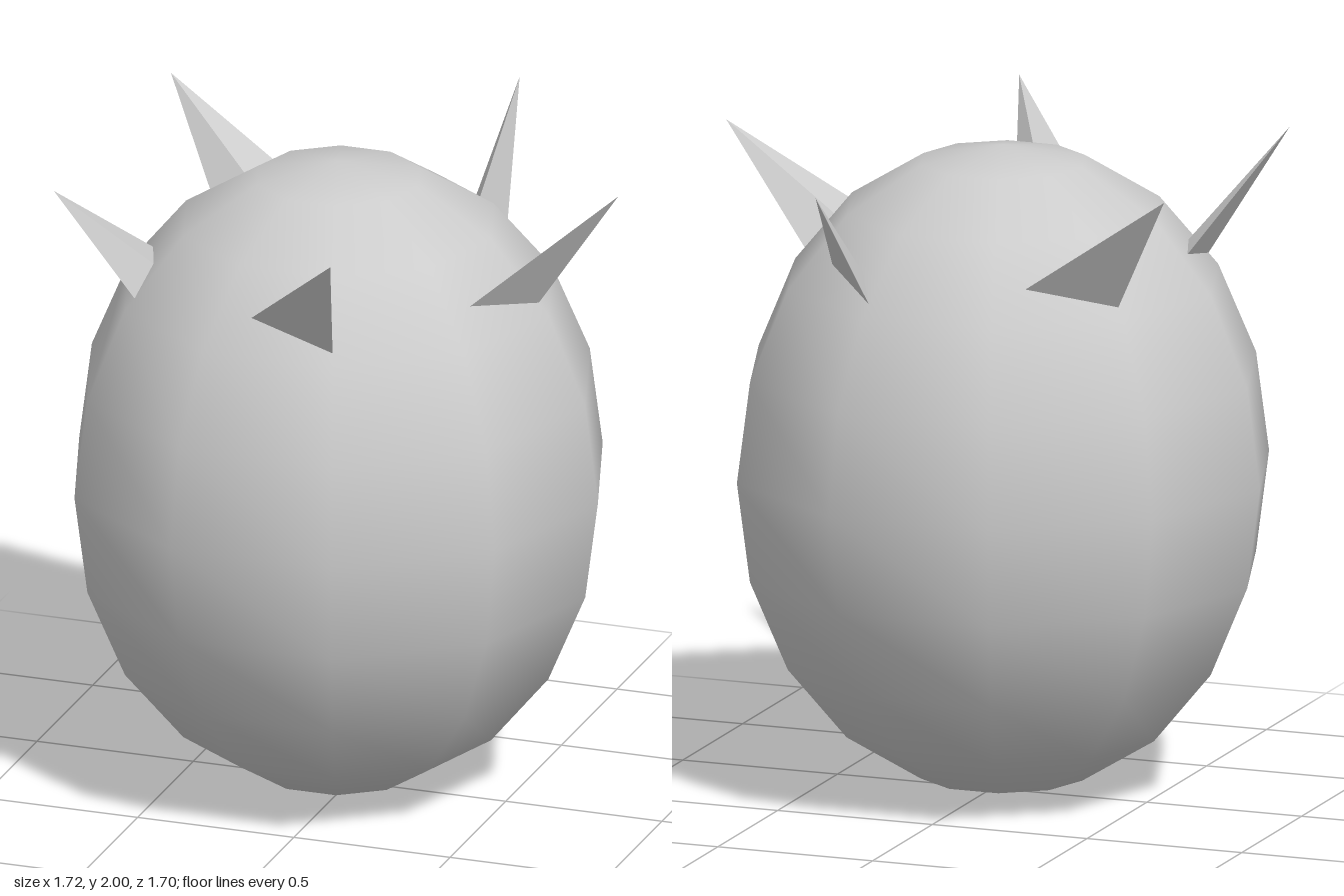
import * as THREE from 'three';

const CENTER_X = -0.035;

// Thin three-sided spike; its root corners are buried in the body
function spikeGeometry() {
  const tip = new THREE.Vector3(0.895, 2, 0);
  const lower = new THREE.Vector3(-0.25, -0.37, 0);
  const side = new THREE.Vector3(-0.38, -0.31, 0.245);
  const normal = lower.clone().cross(side).normalize();
  const ridge = lower.clone().add(side).multiplyScalar(0.5).addScaledVector(normal, 0.05);
  const [a, b, c] = [lower, side, ridge].map((d) => tip.clone().addScaledVector(d, 1.15));
  const faces = [tip, a, c, tip, c, b, tip, b, a, a, b, c];
  const geometry = new THREE.BufferGeometry().setFromPoints(faces);
  geometry.computeVertexNormals();
  return geometry;
}

export function createModel() {
  const model = new THREE.Group();
  model.name = 'spikedEgg';
  const grey = new THREE.MeshStandardMaterial({ color: 0xcccccc });
  grey.name = 'grey';

  // Smooth egg-shaped body with ten sides and ten rows
  const body = new THREE.Mesh(new THREE.SphereGeometry(1, 10, 10), grey);
  body.name = 'body';
  body.scale.set(0.83, 1, 0.83);
  body.position.set(CENTER_X, 1, 0);
  model.add(body);

  // Crown of five spikes
  const crown = new THREE.Group();
  crown.name = 'crown';
  crown.position.x = CENTER_X;
  const geometry = spikeGeometry();
  for (let i = 0; i < 5; i++) {
    const spike = new THREE.Mesh(geometry, grey);
    spike.name = `spike${i + 1}`;
    spike.rotation.y = (-i * Math.PI * 2) / 5;
    crown.add(spike);
  }
  model.add(crown);
  return model;
}
